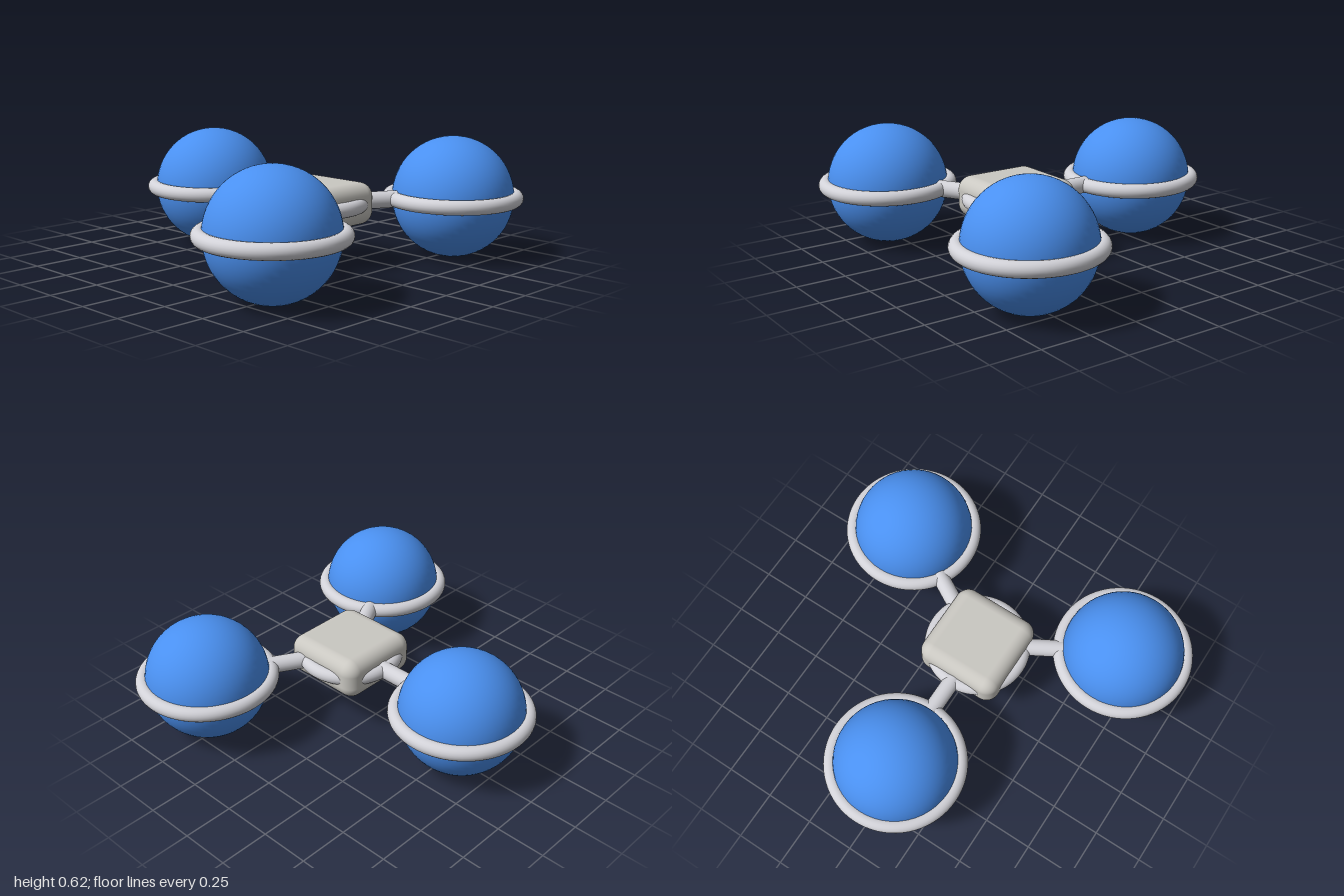
import * as THREE from 'three';
import { RoundedBoxGeometry } from 'three/addons/geometries/RoundedBoxGeometry.js';

const Y = 0.308;        // height of the common mid plane
const BALL = 0.308;     // ball radius
const REACH = 0.738;    // hub centre to ball centre
const HUB_Z = 0.178;

const blue = new THREE.MeshStandardMaterial({ color: 0x4a90f0 });
const silver = new THREE.MeshStandardMaterial({ color: 0xd2d2d8 });
const stone = new THREE.MeshStandardMaterial({ color: 0xcac8c2 });

function add(parent, name, geometry, material) {
  const mesh = new THREE.Mesh(geometry, material);
  mesh.name = name;
  parent.add(mesh);
  return mesh;
}

// Horizontal ring, given its outer radius
function ringGeometry(outer, tube) {
  return new THREE.TorusGeometry(outer - tube, tube, 20, 72).rotateX(Math.PI / 2);
}

export function createModel() {
  const model = new THREE.Group();
  model.name = 'threeBallSpinner';

  // Central hub: rounded block with a ring around it
  const hub = new THREE.Group();
  hub.name = 'hub';
  hub.position.set(0, Y, HUB_Z);
  model.add(hub);
  add(hub, 'hubBlock', new RoundedBoxGeometry(0.45, 0.21, 0.45, 6, 0.07), stone);
  add(hub, 'hubRing', ringGeometry(0.27, 0.037), silver);

  // Three equal spokes, the first pointing straight back
  const armStart = 0.15, armEnd = REACH - BALL + 0.02;
  for (let i = 0; i < 3; i++) {
    const spoke = new THREE.Group();
    spoke.name = 'spoke' + (i + 1);
    spoke.rotation.y = (i * Math.PI * 2) / 3;
    hub.add(spoke);

    const arm = add(spoke, 'arm',
      new THREE.CylinderGeometry(0.043, 0.043, armEnd - armStart, 24).rotateX(Math.PI / 2), silver);
    arm.position.z = -(armStart + armEnd) / 2;

    add(spoke, 'ball', new THREE.SphereGeometry(BALL, 48, 32), blue).position.z = -REACH;
    add(spoke, 'ballRing', ringGeometry(0.355, 0.037), silver).position.z = -REACH;
  }
  return model;
}
